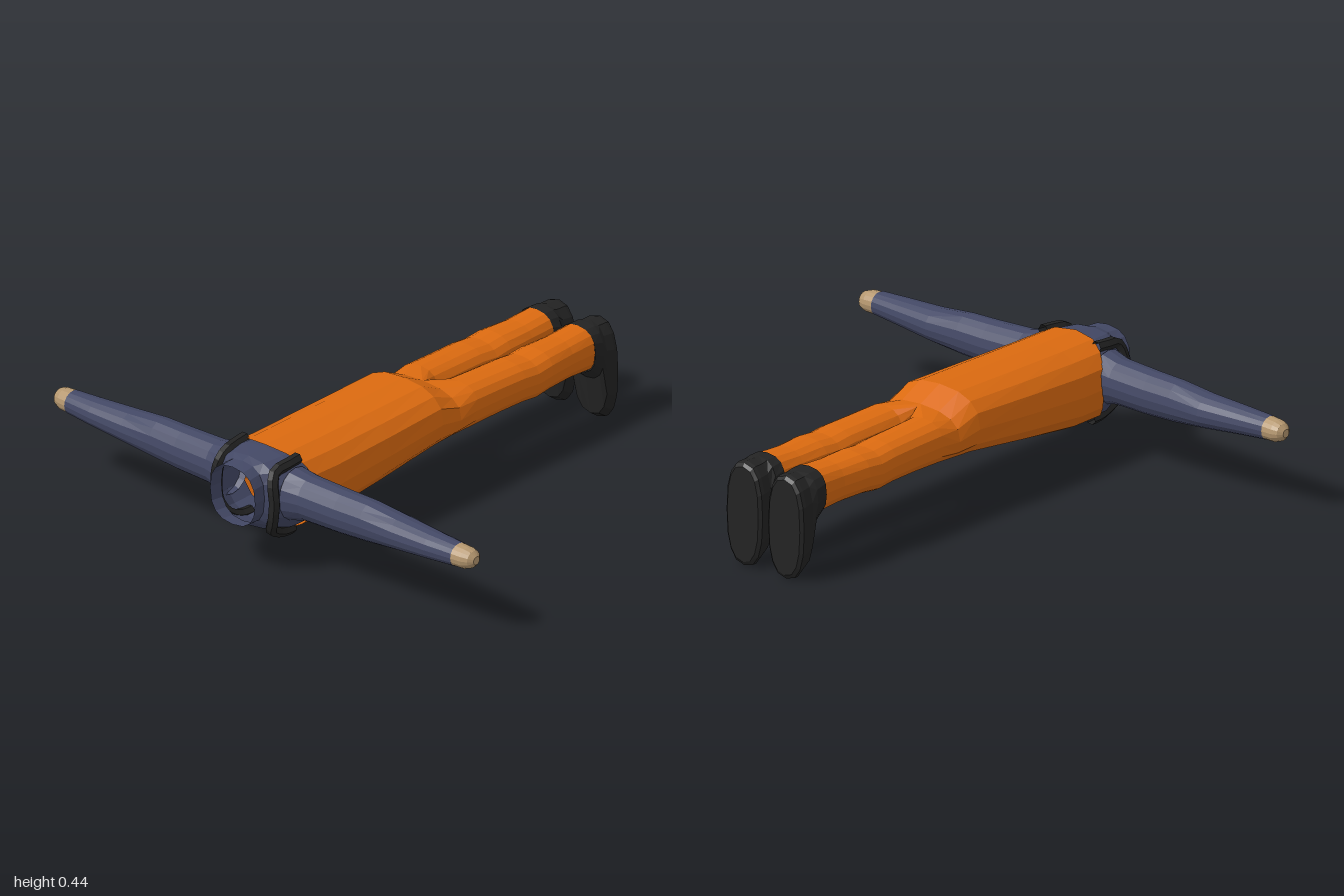
import * as THREE from 'three';

const paint = (name, color) => {
  const m = new THREE.MeshStandardMaterial({ color, flatShading: true, side: THREE.DoubleSide });
  m.name = name;
  return m;
};

const SIDES = 16;

// One cross-section: rounded box in x/y at depth z.
// out/inn are the half widths towards +x and -x; bow and dip pull the sides and the inner half back in z.
function section({ z, c = 0, out, inn = out, y0, y1, p = 2.5, bow = 0, dip = 0 }) {
  const pts = [];
  for (let i = 0; i < SIDES; i++) {
    const a = (i / SIDES) * Math.PI * 2;
    const co = Math.cos(a), si = Math.sin(a);
    const ex = Math.sign(co) * Math.abs(co) ** (2 / p);
    const ey = Math.sign(si) * Math.abs(si) ** (2 / p);
    pts.push([
      c + ex * (co > 0 ? out : inn),
      (y0 + y1) / 2 + (ey * (y1 - y0)) / 2,
      z - bow * co * co - (co < 0 ? dip * -co : 0),
    ]);
  }
  return pts;
}

// Skin over sections ordered from high z to low z, with an optional flat cap at the end.
function loft(specs, cap = false) {
  const pos = specs.flatMap(s => section(s)).flat();
  const idx = [];
  for (let r = 0; r < specs.length - 1; r++) {
    for (let i = 0; i < SIDES; i++) {
      const a = r * SIDES + i, b = r * SIDES + ((i + 1) % SIDES);
      idx.push(a, a + SIDES, b + SIDES, a, b + SIDES, b);
    }
  }
  if (cap) {
    const s = (specs.length - 1) * SIDES;
    for (let i = 1; i < SIDES - 1; i++) idx.push(s, s + i + 1, s + i);
  }
  const g = new THREE.BufferGeometry();
  g.setAttribute('position', new THREE.Float32BufferAttribute(pos, 3));
  g.setIndex(idx);
  g.computeVertexNormals();
  return g;
}

// Limb running out along +x: rows of [x, z centre, half depth, y low, y high]
function limb(rows, cap) {
  const specs = rows.map(([x, c, out, y0, y1]) => ({ z: -x, c, out, y0, y1, p: 2.1 }));
  return loft(specs, cap).rotateY(-Math.PI / 2);
}

export function createModel() {
  const model = new THREE.Group();
  const orange = paint('orange overalls', 0xdb6a10);
  const navy = paint('navy shirt', 0x434865);
  const black = paint('black rubber', 0x232323);
  const skin = paint('skin', 0xb5976f);

  const add = (name, geometry, material, parent = model) => {
    const mesh = new THREE.Mesh(geometry, material);
    mesh.name = name;
    parent.add(mesh);
  };

  // Overalls body, open at the chest
  add('overallsBody', loft([
    { z: 0.745, out: 0.193, y0: 0.13, y1: 0.445, bow: 0.07 },
    { z: 0.57, out: 0.196, y0: 0.13, y1: 0.445 },
    { z: 0.3, out: 0.196, y0: 0.163, y1: 0.447 },
    { z: 0.02, out: 0.192, y0: 0.2, y1: 0.45 },
    { z: -0.08, out: 0.187, y0: 0.21, y1: 0.402 },
  ]), orange);

  // Shirt yoke and open collar
  add('shirtYoke', loft([
    { z: 0.915, out: 0.107, y0: 0.193, y1: 0.417 },
    { z: 0.86, out: 0.103, y0: 0.188, y1: 0.422 },
    { z: 0.83, out: 0.15, y0: 0.16, y1: 0.432 },
    { z: 0.75, out: 0.184, y0: 0.136, y1: 0.439 },
    { z: 0.66, out: 0.185, y0: 0.138, y1: 0.437 },
  ]), navy);

  const strapPath = new THREE.CatmullRomCurve3([
    [0.125, 0.42, 0.71], [0.125, 0.415, 0.76], [0.12, 0.403, 0.825],
    [0.13, 0.36, 0.846], [0.138, 0.3, 0.847], [0.13, 0.22, 0.846],
    [0.105, 0.174, 0.825], [0.1, 0.145, 0.76], [0.1, 0.142, 0.71],
  ].map(p => new THREE.Vector3(...p)));

  for (const side of [1, -1]) {
    const half = new THREE.Group();
    half.name = side > 0 ? 'leftSide' : 'rightSide';
    half.scale.x = side;
    model.add(half);

    // Leg, joined to its half of the body with a saddle at the crotch
    add('trouserLeg', loft([
      { z: -0.08, c: 0, out: 0.187, inn: 0, y0: 0.21, y1: 0.402, dip: 0.055 },
      { z: -0.17, c: 0.09, out: 0.096, inn: 0.084, y0: 0.228, y1: 0.398 },
      { z: -0.3, c: 0.095, out: 0.092, inn: 0.086, y0: 0.232, y1: 0.394 },
      { z: -0.42, c: 0.1, out: 0.09, y0: 0.232, y1: 0.391 },
      { z: -0.49, c: 0.1, out: 0.091, y0: 0.225, y1: 0.384 },
      { z: -0.56, c: 0.1, out: 0.09, y0: 0.234, y1: 0.39 },
      { z: -0.68, c: 0.097, out: 0.08, y0: 0.232, y1: 0.388 },
      { z: -0.79, c: 0.097, out: 0.08, y0: 0.224, y1: 0.395 },
    ]), orange, half);

    // Boot with the toe pointing down
    add('boot', loft([
      { z: -0.785, c: 0.098, out: 0.085, y0: 0.222, y1: 0.397 },
      { z: -0.83, c: 0.098, out: 0.085, y0: 0.18, y1: 0.397 },
      { z: -0.853, c: 0.098, out: 0.084, y0: 0.03, y1: 0.396 },
      { z: -0.89, c: 0.098, out: 0.087, y0: 0.005, y1: 0.396 },
      { z: -0.905, c: 0.098, out: 0.085, y0: 0.005, y1: 0.392 },
      { z: -0.915, c: 0.098, out: 0.073, y0: 0.02, y1: 0.38 },
    ], true), black, half);

    // Sleeve and bare hand
    add('sleeve', limb([
      [0.15, 0.75, 0.085, 0.205, 0.405],
      [0.22, 0.743, 0.077, 0.222, 0.39],
      [0.38, 0.738, 0.073, 0.223, 0.384],
      [0.5, 0.735, 0.07, 0.229, 0.382],
      [0.64, 0.733, 0.069, 0.243, 0.368],
      [0.8, 0.738, 0.058, 0.258, 0.36],
      [0.92, 0.739, 0.047, 0.268, 0.355],
    ]), navy, half);
    add('hand', limb([
      [0.918, 0.739, 0.046, 0.269, 0.354],
      [0.96, 0.737, 0.043, 0.27, 0.351],
      [0.985, 0.735, 0.034, 0.279, 0.343],
      [1.0, 0.735, 0.016, 0.295, 0.326],
    ], true), skin, half);

    // Shoulder strap
    add('strap', new THREE.TubeGeometry(strapPath, 20, 0.022, 6), black, half);
  }
  return model;
}
